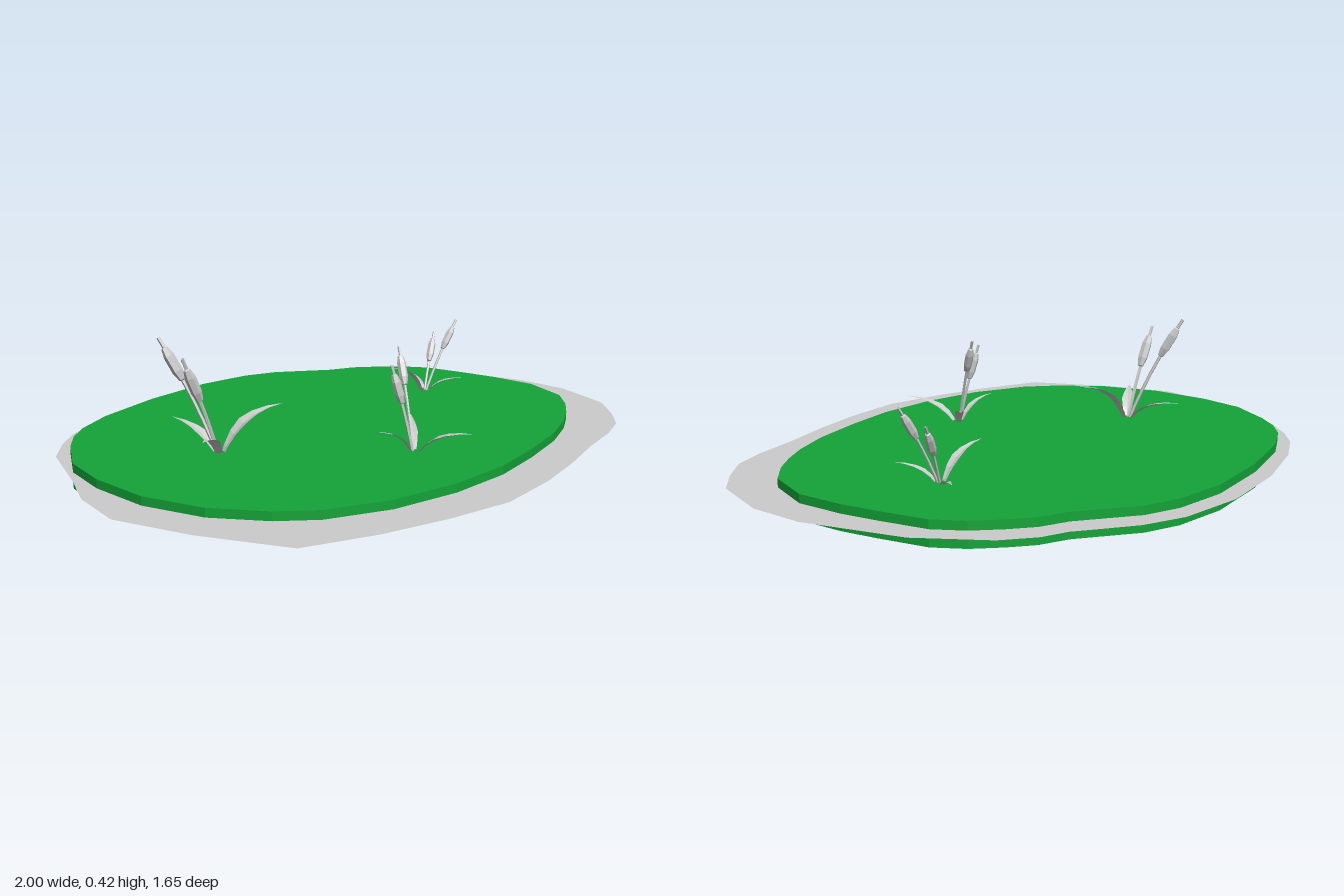
import * as THREE from 'three';

const SHEET_Y = 0.05, TOP_Y = 0.077;
const grey = new THREE.MeshStandardMaterial({ color: 0xcccccc, flatShading: true, side: THREE.DoubleSide });
const green = new THREE.MeshStandardMaterial({ color: 0x14a438, flatShading: true, side: THREE.DoubleSide });

// Outlines seen from above, as x, z pairs
const POND = [
  -.04, -.755, .15, -.765, .27, -.74, .455, -.64, .55, -.615, .625, -.57, .705, -.51, .77, -.43,
  .82, -.28, .855, -.16, .88, 0, .835, .175, .76, .27, .685, .34, .595, .41, .46, .49,
  .27, .57, .08, .635, -.14, .67, -.37, .665, -.57, .61, -.68, .535, -.8, .4, -.88, .21,
  -.9, 0, -.88, -.175, -.8, -.34, -.74, -.43, -.67, -.5, -.54, -.585, -.3, -.685];
const SHORE = [
  -.03, -.82, .2, -.83, .34, -.795, .465, -.73, .52, -.7, .605, -.68, .705, -.62, .855, -.445,
  .98, -.14, 1, .045, .95, .27, .865, .385, .775, .48, .665, .54, .5, .605, .315, .69,
  .135, .76, -.085, .82, -.31, .815, -.525, .79, -.75, .735, -.9, .49, -1, .255, -.98, .06,
  -.92, -.105, -.845, -.35, -.765, -.46, -.685, -.54, -.54, -.635, -.3, -.745];

// Clumps of reeds: base, tips of the cattails and tips of the leaves (with width)
const CLUMPS = [
  { name: 'rightReeds', base: [-.48, 0], size: 1.15,
    cattails: [[-.595, .42, -.145], [-.605, .38, 0]],
    leaves: [[-.275, .205, .045, .06], [-.515, .15, -.21, .04], [-.615, .155, .11, .04]] },
  { name: 'frontReeds', base: [-.02, .36], size: 0.95,
    cattails: [[-.07, .34, .31], [.025, .372, .235]],
    leaves: [[.065, .15, .53, .045], [-.165, .155, .345, .028], [.09, .145, .22, .03]] },
  { name: 'leftReeds', base: [.515, -.18], size: 0.9,
    cattails: [[.658, .315, -.17], [.62, .267, -.242]],
    leaves: [[.355, .178, -.18, .036], [.6, .13, -.07, .032], [.58, .105, -.305, .026]] },
];

const pairs = (flat) => Array.from({ length: flat.length / 2 }, (_, i) => [flat[2 * i], flat[2 * i + 1]]);

// Surface stretched over rows of points
function loft(rows) {
  const n = rows[0].length, index = [];
  for (let i = 0; i < rows.length - 1; i++) {
    for (let j = 0; j < n - 1; j++) {
      const a = i * n + j, b = a + n;
      index.push(a, b, a + 1, a + 1, b, b + 1);
    }
  }
  const geometry = new THREE.BufferGeometry().setFromPoints(rows.flat());
  geometry.setIndex(index);
  geometry.computeVertexNormals();
  return geometry;
}

// Flat horizontal sheet with the given outline
function sheet(outline, y) {
  const shape = new THREE.Shape(pairs(outline).map(([x, z]) => new THREE.Vector2(x, -z)));
  return new THREE.ShapeGeometry(shape).rotateX(-Math.PI / 2).translate(0, y, 0);
}

function addMesh(parent, name, geometry, material) {
  const mesh = new THREE.Mesh(geometry, material);
  mesh.name = name;
  parent.add(mesh);
  return mesh;
}

// Curve that starts steep and leans out toward its tip
function reedCurve(base, tip, out, up) {
  const bend = new THREE.Vector3(
    THREE.MathUtils.lerp(base.x, tip.x, out),
    THREE.MathUtils.lerp(base.y, tip.y, up),
    THREE.MathUtils.lerp(base.z, tip.z, out));
  return new THREE.QuadraticBezierCurve3(base, bend, tip);
}

// Thin stem with a spindle head and a spike on its end
function addCattail(parent, base, tip, size) {
  const curve = reedCurve(base, tip, 0.35, 0.48);
  addMesh(parent, 'cattailStem', new THREE.TubeGeometry(curve, 6, 0.005 * size, 5), grey);
  const profile = [[0, -.13], [.009, -.125], [.0145, -.1], [.0145, -.055], [.009, -.032], [.003, -.028], [.002, 0], [0, 0]]
    .map(([r, y]) => new THREE.Vector2(r * size, y * size));
  const head = addMesh(parent, 'cattailHead', new THREE.LatheGeometry(profile, 6), grey);
  head.position.copy(tip);
  head.quaternion.setFromUnitVectors(new THREE.Vector3(0, 1, 0), curve.getTangent(0.85));
}

// Pointed, slightly folded blade arching outward
function addLeaf(parent, base, tip, width) {
  const curve = reedCurve(base, tip, 0.22, 0.9);
  const side = new THREE.Vector3(base.z - tip.z, 0, tip.x - base.x).normalize();
  const widths = [0.3, 0.5, 0.8, 1, 0.75, 0.4, 0];
  const rows = widths.map((w, i) => {
    const p = curve.getPoint(i / (widths.length - 1)), half = w * width / 2;
    const edge = (s) => p.clone().addScaledVector(side, s * half).setY(p.y + half * 0.3);
    return [edge(-1), p, edge(1)];
  });
  addMesh(parent, 'reedLeaf', loft(rows), grey);
}

export function createModel() {
  const model = new THREE.Group();
  model.name = 'pond';

  // Shore sheet running under the whole pond
  addMesh(model, 'shore', sheet(SHORE, SHEET_Y), grey);

  // Pond surface and its open-bottomed rim
  addMesh(model, 'pondSurface', sheet(POND, TOP_Y), green);
  const loop = pairs(POND);
  loop.push(loop[0]);
  const rim = [0, TOP_Y].map((y) => loop.map(([x, z]) => new THREE.Vector3(x, y, z)));
  addMesh(model, 'pondRim', loft(rim), green);

  // Reeds
  for (const { name, base, size, cattails, leaves } of CLUMPS) {
    const clump = new THREE.Group();
    clump.name = name;
    const root = new THREE.Vector3(base[0], SHEET_Y - 0.004, base[1]);
    for (const tip of cattails) addCattail(clump, root, new THREE.Vector3(...tip), size);
    for (const [x, y, z, width] of leaves) addLeaf(clump, root, new THREE.Vector3(x, y, z), width);
    model.add(clump);
  }
  return model;
}
